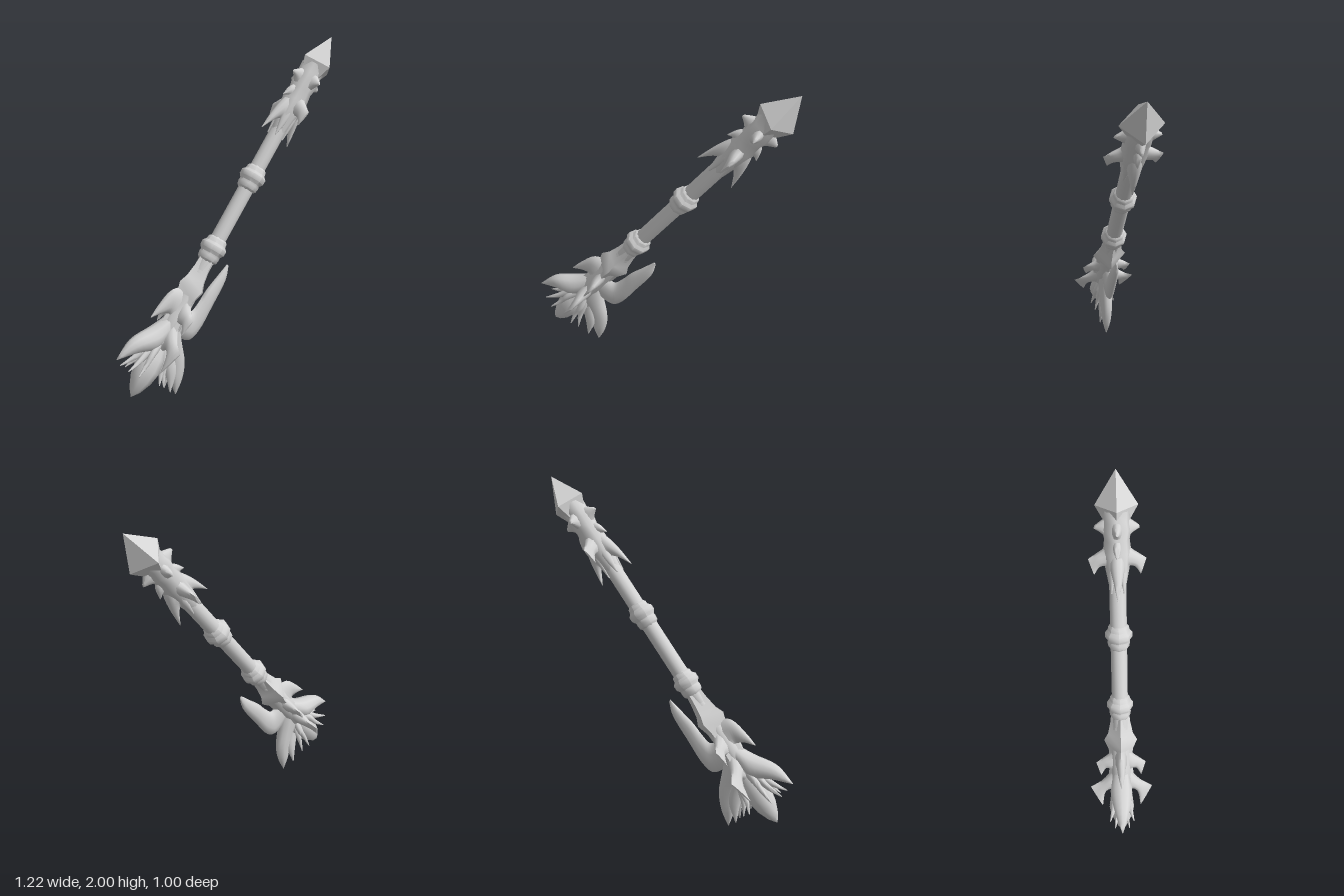
import * as THREE from 'three';
import { toCreasedNormals } from 'three/addons/utils/BufferGeometryUtils.js';

const stone = new THREE.MeshStandardMaterial({ color: 0xd4d4d4 });
stone.name = 'pale grey stone';

const SIDES = 10, STEPS = 4;

// Curved blade in a plane through the shaft, at an angle round it.
// Each row: [edge A radius, edge A height, edge B radius, edge B height, half thickness]
function bladeGeometry(rows, angle) {
  const edgeA = new THREE.CatmullRomCurve3(rows.map(r => new THREE.Vector3(r[0], r[1], r[4])));
  const edgeB = new THREE.CatmullRomCurve3(rows.map(r => new THREE.Vector3(r[2], r[3], r[4])));
  const n = (rows.length - 1) * STEPS;
  const c = Math.cos(angle), s = Math.sin(angle);
  const pos = [], index = [];
  const put = (r, y, t) => pos.push(r * s + t * c, y, r * c - t * s);
  for (let i = 0; i <= n; i++) {
    const a = edgeA.getPoint(i / n), b = edgeB.getPoint(i / n);
    const half = Math.max(a.z, 0.002);
    for (let k = 0; k < SIDES; k++) {
      const q = k / SIDES * Math.PI * 2, f = (1 - Math.cos(q)) / 2;
      put(a.x + (b.x - a.x) * f, a.y + (b.y - a.y) * f, half * Math.sin(q));
    }
  }
  for (let i = 0; i < n; i++) for (let k = 0; k < SIDES; k++) {
    const a = i * SIDES + k, b = i * SIDES + (k + 1) % SIDES;
    index.push(a, b, a + SIDES, b, b + SIDES, a + SIDES);
  }
  for (let k = 1; k < SIDES - 1; k++) {
    const e = n * SIDES;
    index.push(0, k + 1, k, e, e + k, e + k + 1);
  }
  // Turn the faces outward if the enclosed volume comes out negative
  let volume = 0;
  const v = i => new THREE.Vector3().fromArray(pos, index[i] * 3);
  for (let i = 0; i < index.length; i += 3) volume += v(i).dot(v(i + 1).cross(v(i + 2)));
  if (volume < 0) index.reverse();
  const g = new THREE.BufferGeometry();
  g.setAttribute('position', new THREE.Float32BufferAttribute(pos, 3));
  g.setIndex(index);
  return toCreasedNormals(g, 1.2);
}

// Turned part; profile points are [radius, height], bottom to top
function turned(profile, sides, crease) {
  const g = new THREE.LatheGeometry(profile.map(p => new THREE.Vector2(p[0], p[1])), sides);
  return toCreasedNormals(g, crease);
}

export function createModel() {
  const model = new THREE.Group();
  model.name = 'staff';
  const staff = new THREE.Group();
  staff.name = 'tiltedStaff';
  model.add(staff);
  const add = (name, geometry) => {
    const mesh = new THREE.Mesh(geometry, stone);
    mesh.name = name;
    staff.add(mesh);
    return mesh;
  };
  const blades = (name, rows, degrees) =>
    degrees.forEach(d => add(name, bladeGeometry(rows, d * Math.PI / 180)));

  // Shaft and the two stepped collars
  add('shaft', turned([[0, -0.5], [0.047, -0.5], [0.047, 0.8], [0, 0.8]], 12, 0.9));
  for (const y of [-0.18, 0.295]) {
    add('collar', turned([[0.044, y - 0.08], [0.06, y - 0.065], [0.064, y - 0.04], [0.062, y - 0.025],
      [0.077, y - 0.005], [0.078, y + 0.025], [0.062, y + 0.042], [0.058, y + 0.065], [0.044, y + 0.078]], 8, 0.85));
  }

  // Pointed four-sided tip with its swelling neck
  add('tip', turned([[0.045, 0.94], [0.075, 1.0], [0.115, 1.075], [0, 1.268]], 4, 0.6)).position.z = -0.012;
  add('neck', turned([[0.045, 0.6], [0.066, 0.72], [0.076, 0.82], [0.068, 0.89], [0.08, 0.95],
    [0.072, 1.0], [0.075, 1.06]], 8, 1.1));
  blades('neckThorn', [[0.03, 0.86, 0.03, 1.03, 0.035], [0.08, 0.92, 0.075, 1.0, 0.024],
    [0.122, 0.95, 0.118, 0.967, 0.005]], [0, 90, 180, 270]);
  blades('neckSideHook', [[0.03, 0.91, 0.03, 0.7, 0.04], [0.07, 0.84, 0.06, 0.73, 0.032],
    [0.115, 0.805, 0.095, 0.725, 0.022], [0.157, 0.775, 0.127, 0.68, 0.006]], [90, 270]);
  blades('neckLongHook', [[0.03, 0.9, 0.03, 0.62, 0.042], [0.08, 0.79, 0.05, 0.67, 0.036],
    [0.105, 0.7, 0.075, 0.65, 0.024], [0.125, 0.574, 0.122, 0.574, 0.003]], [0, 180]);
  blades('neckSmallHook', [[0.03, 0.93, 0.03, 0.8, 0.025], [0.08, 0.88, 0.07, 0.82, 0.02],
    [0.105, 0.81, 0.1, 0.808, 0.003]], [0, 180]);
  blades('neckLeaf', [[0.06, 0.85, 0.03, 0.75, 0.02], [0.064, 0.72, 0.035, 0.68, 0.025],
    [0.052, 0.58, 0.045, 0.58, 0.003]], [45, 135, 225, 315]);

  // Body of the large head
  add('headBody', turned([[0, -0.88], [0.06, -0.8], [0.08, -0.72], [0.068, -0.6], [0.074, -0.5],
    [0.1, -0.43], [0.075, -0.38], [0.06, -0.3], [0.052, -0.22]], 4, 1.0));
  add('headCore', turned([[0, -0.88], [0.065, -0.78], [0.06, -0.6], [0.058, -0.42], [0.045, -0.3]], 12, 1.2));

  // Bud held between the fangs
  add('bud', turned([[0, -1.145], [0.035, -1.1], [0.065, -1.03], [0.078, -0.96], [0.07, -0.88], [0.04, -0.8]], 8, 0.9));

  // Rear fins
  blades('sideFin', [[0.03, -0.46, 0.03, -0.67, 0.035], [0.07, -0.53, 0.065, -0.65, 0.03],
    [0.11, -0.565, 0.09, -0.645, 0.02], [0.152, -0.6, 0.124, -0.7, 0.005]], [90, 270]);
  blades('topFin', [[0.03, -0.44, 0.03, -0.68, 0.04], [0.115, -0.49, 0.06, -0.63, 0.03],
    [0.148, -0.6, 0.1, -0.64, 0.02], [0.16, -0.688, 0.156, -0.69, 0.003]], [0]);

  // Flared side blades
  blades('sideBlade', [[0.02, -0.6, 0.02, -0.86, 0.04], [0.075, -0.69, 0.07, -0.81, 0.034],
    [0.125, -0.745, 0.1, -0.835, 0.022], [0.192, -0.79, 0.12, -0.945, 0.005]], [90, 270]);

  // Upper and lower fangs
  blades('upperFang', [[0.03, -0.6, 0.02, -0.85, 0.055], [0.1, -0.72, 0.05, -0.86, 0.068],
    [0.202, -0.85, 0.125, -0.9, 0.045], [0.228, -0.98, 0.224, -0.985, 0.003]], [0]);
  blades('lowerFang', [[0.03, -0.62, 0.03, -0.86, 0.045], [0.12, -0.72, 0.08, -0.86, 0.042],
    [0.23, -0.83, 0.14, -0.9, 0.036], [0.28, -0.93, 0.215, -0.975, 0.026],
    [0.3, -1.03, 0.295, -1.03, 0.003]], [180]);
  blades('lowerFangBarb', [[0.1, -0.8, 0.08, -0.9, 0.025], [0.19, -0.9, 0.14, -0.95, 0.02],
    [0.228, -1.028, 0.22, -1.028, 0.003]], [172, 188]);

  // Thin tendrils hugging the bud: [angle, tip radius], mirrored left and right
  for (const [angle, r] of [[17, 0.155], [42, 0.115], [138, 0.115], [158, 0.15]]) {
    blades('tendril', [[0.03, -0.74, 0.02, -0.86, 0.022], [0.09, -0.85, 0.06, -0.9, 0.018],
      [0.04 + r * 0.5, -0.93, 0.02 + r * 0.45, -0.95, 0.013], [r, -1.01, r - 0.005, -1.013, 0.003]],
      [angle, -angle]);
  }

  // Long swept blade under the head
  blades('sweptBlade', [[0.03, -0.56, 0.03, -0.72, 0.03], [0.09, -0.55, 0.18, -0.71, 0.03],
    [0.108, -0.48, 0.21, -0.655, 0.028], [0.115, -0.4, 0.212, -0.47, 0.026],
    [0.138, -0.3, 0.205, -0.29, 0.018], [0.158, -0.21, 0.175, -0.215, 0.004]], [180]);

  // Lean the whole staff
  const across = new THREE.Vector3(0.627, 0, 0.779).normalize();
  const along = new THREE.Vector3(0.474, 0.794, -0.381).normalize();
  const upper = new THREE.Vector3().crossVectors(across, along).normalize();
  staff.quaternion.setFromRotationMatrix(new THREE.Matrix4().makeBasis(across, along, upper));
  staff.position.set(0, 1, 0);
  return model;
}
